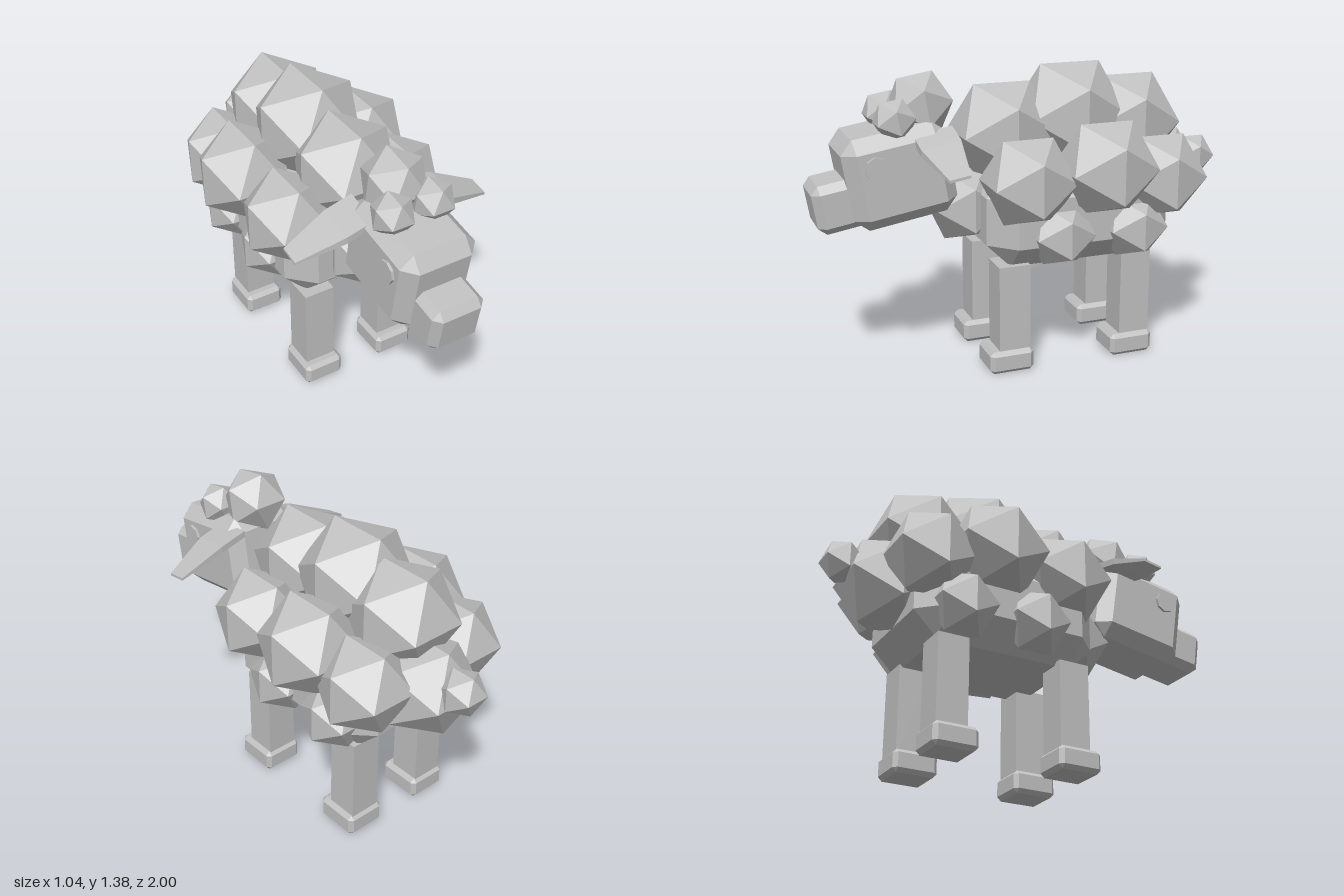
import * as THREE from 'three';
import { ConvexGeometry } from 'three/addons/geometries/ConvexGeometry.js';

const TILT = 0.16; // the head leans nose-down

// Box with every edge and corner cut by c
function chamferBox(w, h, d, c) {
  const pts = [];
  for (const sx of [-1, 1]) for (const sy of [-1, 1]) for (const sz of [-1, 1]) {
    const x = w / 2, y = h / 2, z = d / 2;
    pts.push(
      new THREE.Vector3(sx * x, sy * (y - c), sz * (z - c)),
      new THREE.Vector3(sx * (x - c), sy * y, sz * (z - c)),
      new THREE.Vector3(sx * (x - c), sy * (y - c), sz * z));
  }
  return new ConvexGeometry(pts);
}

// Flat ear that narrows and droops towards its tip
function earGeometry(side) {
  const sections = [ // x, y, half width, half thickness
    [0.14, 1.13, 0.09, 0.016],
    [0.27, 1.095, 0.09, 0.016],
    [0.485, 1.012, 0.047, 0.006],
  ];
  const geo = new THREE.BoxGeometry(2, 1, 1, 2, 1, 1);
  const p = geo.attributes.position;
  for (let i = 0; i < p.count; i++) {
    const k = Math.round(p.getX(i)) * side + 1;
    const [x, y, half, thick] = sections[k];
    const dz = Math.sign(p.getZ(i)) * half;
    const zc = k === 2 ? 0.443 : 0.46;
    p.setXYZ(i, side * x, y + Math.sign(p.getY(i)) * thick - dz * TILT, zc + dz);
  }
  geo.computeVertexNormals();
  return geo;
}

export function createModel() {
  const model = new THREE.Group();
  model.name = 'sheep';
  const grey = new THREE.MeshStandardMaterial({ color: 0xc0c0c0, flatShading: true });
  grey.name = 'plain grey';

  function add(name, geo, x = 0, y = 0, z = 0, rx = 0) {
    const mesh = new THREE.Mesh(geo, grey);
    mesh.name = name;
    mesh.position.set(x, y, z);
    mesh.rotation.x = rx;
    model.add(mesh);
    return mesh;
  }

  // Wool ball: icosahedron turned so its top edge runs front to back
  const ball = (name, x, y, z, r, rx = 0) =>
    add(name, new THREE.IcosahedronGeometry(r, 0).rotateY(Math.PI / 2), x, y, z, rx);

  // Body core
  add('body', chamferBox(0.69, 0.45, 0.9, 0.115), 0, 0.725, -0.205);

  // Wool along the middle
  ball('frontBackWool', 0, 1.087, 0.087, 0.26);
  ball('middleBackWool', 0, 1.145, -0.247, 0.278);
  ball('rearBackWool', 0, 1.087, -0.538, 0.26);
  ball('chestWool', 0, 0.757, 0.272, 0.193);
  ball('rumpWool', 0, 0.818, -0.694, 0.243);
  ball('tail', 0, 0.882, -0.906, 0.11);
  ball('headTuft', 0, 1.239, 0.477, 0.157, TILT);

  for (const s of [-1, 1]) {
    const side = s > 0 ? 'left' : 'right';

    // Wool on the flanks
    ball(side + 'FrontFlankWool', s * 0.288, 0.912, 0.067, 0.225);
    ball(side + 'MiddleFlankWool', s * 0.312, 0.95, -0.3, 0.243);
    ball(side + 'RearFlankWool', s * 0.262, 0.874, -0.595, 0.222);
    ball(side + 'FrontLowerWool', s * 0.292, 0.655, -0.088, 0.163);
    ball(side + 'RearLowerWool', s * 0.292, 0.655, -0.45, 0.163);
    ball(side + 'BrowTuft', s * 0.1, 1.195, 0.62, 0.102, TILT);

    // Ears and eyes
    add(side + 'Ear', earGeometry(s));
    const eye = new THREE.CylinderGeometry(0.053, 0.053, 0.03, 8).rotateZ(Math.PI / 2);
    add(side + 'Eye', eye, s * 0.185, 1.008, 0.726, TILT);

    // Legs and hooves
    for (const [end, z] of [['Front', 0.125], ['Rear', -0.48]]) {
      add(side + end + 'Leg', new THREE.BoxGeometry(0.15, 0.45, 0.15), s * 0.2, 0.29, z);
      add(side + end + 'Hoof', chamferBox(0.195, 0.108, 0.213, 0.019), s * 0.2, 0.054, z + 0.017);
    }
  }

  // Head and muzzle
  add('head', chamferBox(0.375, 0.42, 0.48, 0.06), 0, 0.949, 0.608, TILT);
  add('muzzle', chamferBox(0.256, 0.225, 0.24, 0.035), 0, 0.83, 0.868, TILT);

  return model;
}
